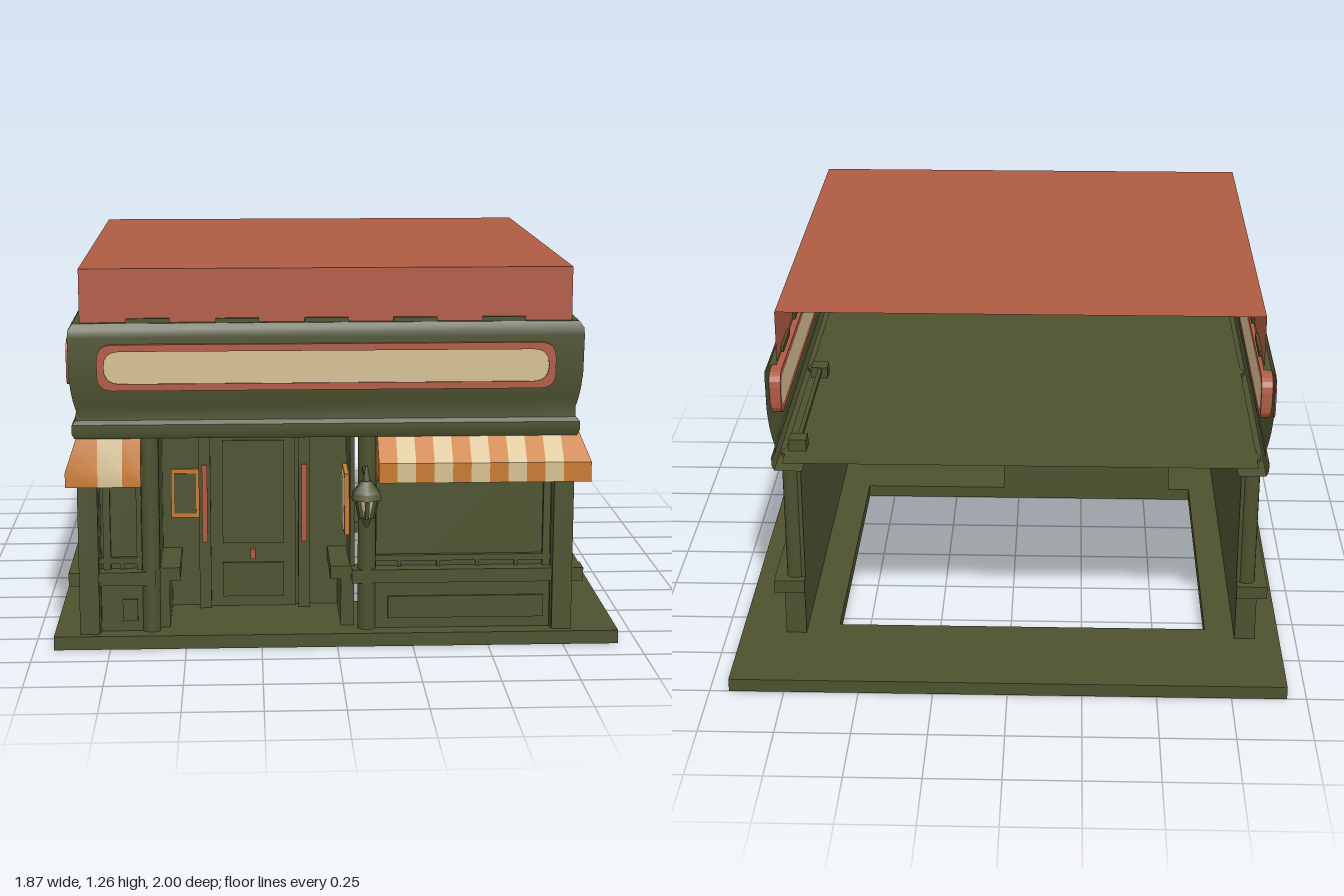
import * as THREE from 'three';
import { toCreasedNormals } from 'three/addons/utils/BufferGeometryUtils.js';

const mat = (name, color) => {
  const m = new THREE.MeshStandardMaterial({ color, side: THREE.DoubleSide });
  m.name = name;
  return m;
};

export function createModel() {
  const green = mat('olive green', 0x4d522f);
  const red = mat('brick red', 0xb05b43);
  const orange = mat('awning orange', 0xc87a30);
  const cream = mat('cream', 0xd6c193);

  const root = new THREE.Group();
  root.name = 'cornerShop';
  const add = (name, geo, m, x = 0, y = 0, z = 0, ry = 0) => {
    const mesh = new THREE.Mesh(geo, m);
    mesh.name = name;
    mesh.position.set(x, y, z);
    mesh.rotation.y = ry;
    root.add(mesh);
    return mesh;
  };
  // box given by its min and max corners
  const box = (name, m, x0, x1, y0, y1, z0, z1) =>
    add(name, new THREE.BoxGeometry(x1 - x0, y1 - y0, z1 - z0), m, (x0 + x1) / 2, (y0 + y1) / 2, (z0 + z1) / 2);
  const post = (name, r, y0, y1, x, z) =>
    add(name, new THREE.CylinderGeometry(r, r, y1 - y0, 16), green, x, (y0 + y1) / 2, z);
  // sheet lofted through a list of cross-sections
  const loft = (sections) => {
    const p = [];
    for (let i = 0; i < sections.length - 1; i++) {
      const A = sections[i], B = sections[i + 1];
      for (let j = 0; j < A.length - 1; j++) p.push(...A[j], ...B[j], ...B[j + 1], ...A[j], ...B[j + 1], ...A[j + 1]);
    }
    const g = new THREE.BufferGeometry();
    g.setAttribute('position', new THREE.Float32BufferAttribute(p, 3));
    return toCreasedNormals(g, 0.6);
  };

  const X0 = -0.83, X1 = 0.76, CX = (X0 + X1) / 2, HX = (X1 - X0) / 2, ZF = 0.845, FLOOR = 0.045;

  // base slab with an open middle
  const slab = new THREE.Shape([[-0.935, -0.877], [0.935, -0.877], [0.935, 1], [-0.935, 1]].map(p => new THREE.Vector2(...p)));
  slab.holes.push(new THREE.Path([[-0.68, -0.5], [-0.68, 0.62], [0.6, 0.62], [0.6, -0.5]].map(p => new THREE.Vector2(...p))));
  add('baseSlab', new THREE.ExtrudeGeometry(slab, { depth: FLOOR, bevelEnabled: false }).rotateX(-Math.PI / 2), green);

  // roof shell, open at the back
  const rb = -0.73, rf = 0.855;
  const roofLine = [[X0, rb], [X0, rf], [X1, rf], [X1, rb]];
  add('roofSides', loft(roofLine.map(([x, z]) => [[x, 1.08, z], [x, 1.26, z]])), red);
  add('roofTop', new THREE.PlaneGeometry(X1 - X0, rf - rb).rotateX(-Math.PI / 2), red, CX, 1.26, (rb + rf) / 2);
  add('ceilingDeck', new THREE.PlaneGeometry(X1 - X0, rf - rb).rotateX(-Math.PI / 2), green, CX, 0.72, (rb + rf) / 2);

  // rail with brackets lying on the deck
  box('deckRail', green, 0.71, 0.725, 0.74, 0.755, -0.62, 0.06);
  for (const z of [-0.6, 0.04]) box('railBracket', green, 0.69, 0.75, 0.72, 0.76, z - 0.03, z + 0.03);

  // moulded cornice on three sides
  const profile = [[-0.07, 0.705], [0.022, 0.708], [0.03, 0.725], [0.03, 0.755], [0.018, 0.768], [0.016, 0.8],
    [0.024, 0.83], [0.031, 0.87], [0.036, 0.92], [0.038, 1.04], [0.036, 1.065], [0.022, 1.085], [-0.005, 1.088]];
  const around = [[X0, -0.76, -1, 0], [X0, ZF, -1, 1], [X1, ZF, 1, 1], [X1, -0.76, 1, 0]];
  add('cornice', loft(around.map(([x, z, sx, sz]) => profile.map(([o, y]) => [x + sx * o, y, z + sz * o]))), green);
  // small raised flashings at the foot of the roof
  for (let i = 0; i < 5; i++) {
    const x = -0.61 + i * 0.287, z = -0.55 + i * 0.3;
    box('roofFlashing', green, x - 0.07, x + 0.07, 1.08, 1.1, ZF, ZF + 0.02);
    for (const s of [-1, 1]) {
      const sx = CX + s * HX;
      box('roofFlashing', green, sx - 0.01, sx + 0.01, 1.08, 1.1, z - 0.08, z + 0.08);
    }
  }

  // sign boards with rounded corners
  const pill = (w, h, r) => {
    const a = w / 2, b = h / 2, s = new THREE.Shape();
    s.moveTo(-a + r, -b).lineTo(a - r, -b).quadraticCurveTo(a, -b, a, -b + r).lineTo(a, b - r)
      .quadraticCurveTo(a, b, a - r, b).lineTo(-a + r, b).quadraticCurveTo(-a, b, -a, b - r)
      .lineTo(-a, -b + r).quadraticCurveTo(-a, -b, -a + r, -b);
    return s;
  };
  const sign = (x, z, ry) => {
    const frame = pill(1.48, 0.15, 0.05);
    frame.holes.push(pill(1.435, 0.105, 0.05));
    const opt = depth => ({ depth, bevelEnabled: false, curveSegments: 4 });
    add('signFrame', new THREE.ExtrudeGeometry(frame, opt(0.05)), red, x, 0.945, z, ry);
    add('signPanel', new THREE.ExtrudeGeometry(pill(1.435, 0.105, 0.05), opt(0.045)), cream, x, 0.945, z, ry);
  };
  sign(CX, ZF, 0);
  sign(X1, 0.06, Math.PI / 2);
  sign(X0, 0.06, -Math.PI / 2);

  // side walls
  for (const s of [-1, 1]) {
    const sb = (name, m, d0, d1, y0, y1, z0, z1) => {
      const a = CX + s * d0, b = CX + s * d1;
      box(name, m, Math.min(a, b), Math.max(a, b), y0, y1, z0, z1);
    };
    sb('sideWall', green, 0.745, 0.77, FLOOR, 0.72, -0.65, 0.79);
    sb('sidePlinth', green, 0.745, 0.815, FLOOR, 0.21, -0.68, 0.83);
    sb('sideSill', green, 0.745, 0.85, 0.205, 0.25, -0.685, 0.835);
    sb('sideHeader', green, 0.745, 0.79, 0.695, 0.72, -0.66, 0.82);
    for (const z of [0.19, 0.115, 0.04, -0.58, -0.63])
      post('sidePost', [0.115, -0.63].includes(z) ? 0.03 : 0.018, FLOOR, 0.72, CX + s * 0.78, z);
    for (const [z0, z1] of [[0.21, 0.75], [-0.52, 0.02]]) {
      for (const y of [0.28, 0.575]) sb('windowRail', green, 0.76, 0.785, y - 0.01, y + 0.01, z0, z1);
      for (const z of [z0, z1]) sb('windowStile', green, 0.76, 0.785, 0.25, 0.7, z - 0.01, z + 0.01);
      for (let i = 1; i < 4; i++) {
        const z = z0 + (z1 - z0) * i / 4;
        sb('lowerMullion', green, 0.76, 0.78, 0.25, 0.29, z - 0.006, z + 0.006);
      }
    }
    // plinth panels with a bright upper trim
    for (const [z0, z1] of [[0.2, 0.7], [-0.55, 0.04]]) {
      sb('plinthPanel', green, 0.815, 0.82, 0.09, 0.155, z0, z1);
      sb('panelTrim', orange, 0.815, 0.822, 0.155, 0.163, z0, z1);
      for (const z of [z0, z1]) sb('panelTrim', orange, 0.815, 0.822, 0.11, 0.163, z - 0.004, z + 0.004);
    }
    sb('cornerColumn', green, 0.75, 0.815, FLOOR, 0.72, 0.785, 0.85);
  }

  // front walls on either side of the entrance
  for (const [x0, x1] of [[-0.8, -0.62], [0.08, 0.73]]) {
    box('frontWall', green, x0, x1, FLOOR, 0.72, 0.755, 0.78);
    box('frontPlinth', green, x0, x1, FLOOR, 0.21, 0.755, 0.815);
    box('plinthPanel', green, x0 + 0.09, x1 - 0.04, 0.08, 0.155, 0.815, 0.822);
    for (const y of [0.28, 0.555]) box('windowRail', green, x0, x1, y - 0.01, y + 0.01, 0.78, 0.797);
    for (const x of [x0 + 0.04, x1 - 0.03]) box('windowStile', green, x - 0.012, x + 0.012, 0.25, 0.71, 0.78, 0.797);
    const n = x1 - x0 > 0.3 ? 5 : 2;
    for (let i = 1; i < n; i++) {
      const x = x0 + (x1 - x0) * i / n;
      box('lowerMullion', green, x - 0.006, x + 0.006, 0.25, 0.29, 0.78, 0.793);
    }
  }
  box('frontSill', green, -0.87, -0.6, 0.205, 0.25, 0.755, 0.835);
  box('frontSill', green, 0.05, 0.82, 0.205, 0.25, 0.755, 0.835);
  for (const x of [-0.615, 0.1]) post('entrancePost', 0.03, FLOOR, 0.72, x, 0.805);

  // entrance recess: side walls, low plinths and sills
  for (const [x, s] of [[-0.6, 1], [0.06, -1]]) {
    const rs = (name, w, y0, y1) => box(name, green, Math.min(x, x + s * w), Math.max(x, x + s * w), y0, y1, 0.5, 0.78);
    rs('recessWall', 0.015, FLOOR, 0.72);
    rs('recessPlinth', 0.045, FLOOR, 0.21);
    rs('recessSill', 0.08, 0.205, 0.25);
  }

  // menu boards: one facing forward, one on the recess side wall
  box('menuFrame', orange, -0.555, -0.46, 0.36, 0.53, 0.52, 0.535);
  box('menuPanel', green, -0.545, -0.47, 0.375, 0.515, 0.535, 0.538);
  box('sideMenuFrame', orange, 0.03, 0.046, 0.34, 0.55, 0.56, 0.72);
  box('sideMenuPanel', cream, 0.025, 0.03, 0.355, 0.535, 0.575, 0.705);

  // recessed door
  box('doorBackWall', green, -0.6, 0.06, FLOOR, 0.72, 0.5, 0.52);
  box('doorLeaf', green, -0.42, -0.13, FLOOR, 0.67, 0.52, 0.535);
  box('doorHeader', green, -0.475, -0.08, 0.685, 0.72, 0.51, 0.58);
  for (const x of [-0.44, -0.1]) {
    box('doorJamb', green, x - 0.02, x + 0.02, FLOOR, 0.69, 0.51, 0.56);
    box('doorStripe', red, x - 0.009, x + 0.009, 0.28, 0.55, 0.56, 0.566);
  }
  box('doorPanel', green, -0.38, -0.17, 0.27, 0.63, 0.535, 0.542);
  box('doorPanel', green, -0.38, -0.17, 0.08, 0.2, 0.535, 0.542);
  box('doorHandle', red, -0.285, -0.268, 0.215, 0.25, 0.535, 0.555);

  // large front awning
  const n = 11, ax0 = 0.13, ax1 = 0.79;
  const section = i => {
    const x = ax0 + (ax1 - ax0) * i / n, f = i === n ? x + 0.03 : x;
    return [[f, 0.57, 0.945], [f, 0.635, 0.945], [x, 0.72, 0.85]];
  };
  for (let i = 0; i < n; i++) add('frontAwningStripe', loft([section(i), section(i + 1)]), i % 2 ? cream : orange);
  for (const i of [0, n])
    add('frontAwningEnd', loft([section(i), section(i).map(([x, y]) => [x, y, 0.76])]), orange);

  // smaller awning wrapping the left front corner
  const wrap = [-0.64, -0.7, -0.78].map(x => [[x, 0.55, 0.885], [x, 0.6, 0.885], [x, 0.72, 0.85]]);
  wrap.push([[-0.885, 0.55, 0.885], [-0.885, 0.6, 0.885], [-0.845, 0.72, 0.85]]);
  for (let i = 1; i <= 8; i++) {
    const z = 0.885 - i * 0.094;
    wrap.push([[-0.885, 0.55, z], [-0.885, 0.6, z], [-0.845, 0.72, z]]);
  }
  for (let i = 0; i < wrap.length - 1; i++)
    add('cornerAwningStripe', loft([wrap[i], wrap[i + 1]]), i % 2 ? cream : orange);
  add('cornerAwningEnd', loft([wrap[0], wrap[0].map(([x, y]) => [x, y, 0.78])]), orange);
  add('cornerAwningEnd', loft([wrap[11], wrap[11].map(([, y, z]) => [-0.8, y, z])]), orange);

  // hanging lantern on the entrance post
  const lx = 0.09, lz = 0.945;
  const hex = (name, m, rt, rbm, y0, y1) => add(name, new THREE.CylinderGeometry(rt, rbm, y1 - y0, 6), m, lx, (y0 + y1) / 2, lz);
  hex('lanternTip', green, 0.022, 0.006, 0.425, 0.46);
  hex('lanternGlass', cream, 0.034, 0.02, 0.46, 0.52);
  hex('lanternEave', green, 0.05, 0.055, 0.52, 0.54);
  hex('lanternCap', green, 0.02, 0.05, 0.54, 0.58);
  hex('lanternFinial', green, 0.004, 0.014, 0.58, 0.63);
  for (let i = 0; i < 6; i++) {
    const a = i * Math.PI / 3;
    const rib = add('lanternRib', new THREE.BoxGeometry(0.014, 0.065, 0.012), green, lx + Math.sin(a) * 0.029, 0.49, lz + Math.cos(a) * 0.029, a);
    rib.rotation.order = 'YXZ';
    rib.rotation.x = 0.23;
  }
  box('lanternBracket', green, lx - 0.008, lx + 0.008, 0.585, 0.6, 0.8, lz);

  return root;
}
